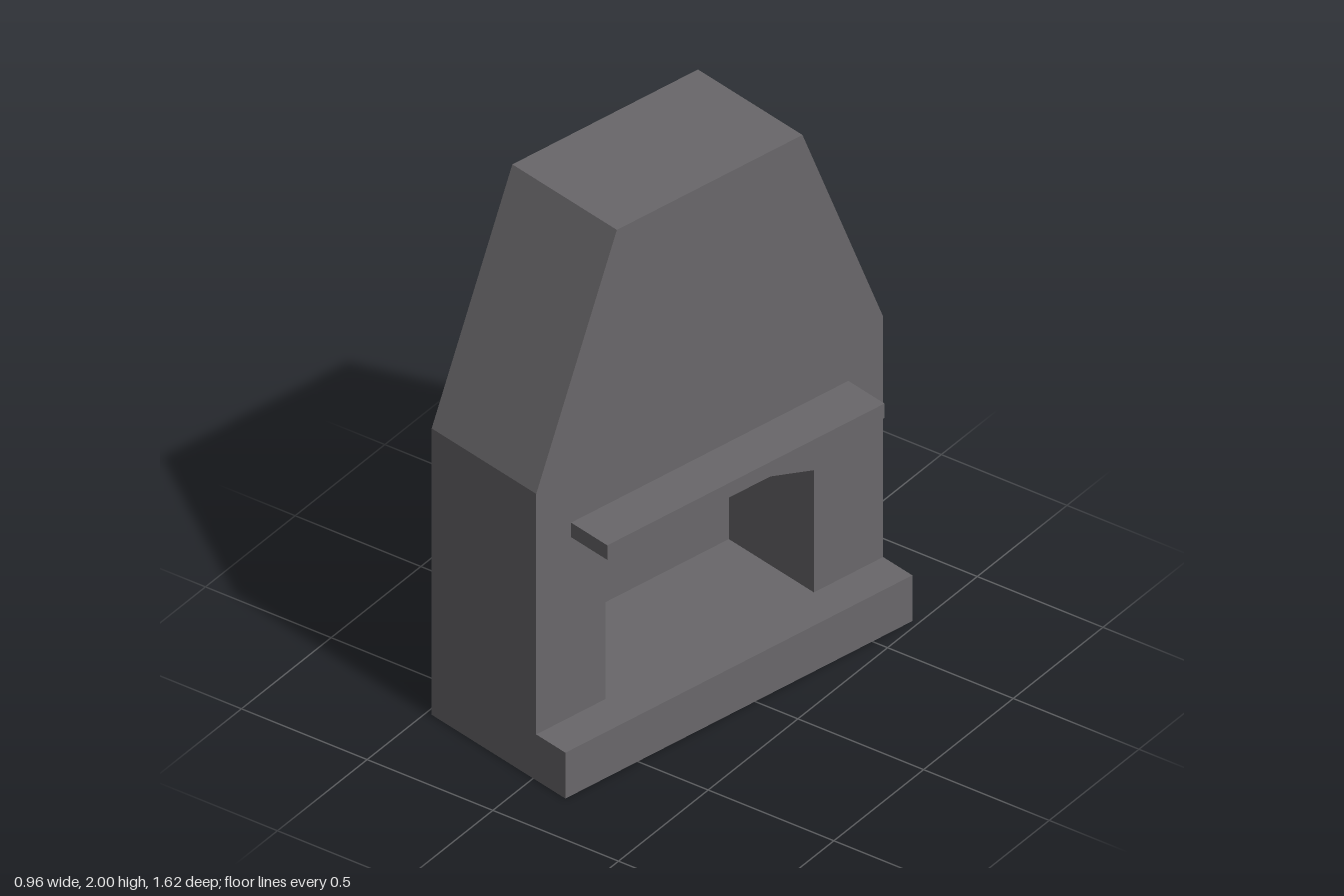
import * as THREE from 'three';

export function createModel() {
  const model = new THREE.Group();
  model.name = 'fireplace';
  const stone = new THREE.MeshStandardMaterial({ color: 0x69676a, side: THREE.DoubleSide });
  stone.name = 'dark stone';

  // Main sizes: half widths, heights and depths (front faces local +z)
  const W = 0.757, T = 0.405, H = 2, S = 1.125;
  const BACK = -0.324, FRONT = 0.181, LIP = 0.322, FLOOR = 0.18;
  const OW = 0.455, OY = 0.66, AW = 0.153, AY = 0.76, OB = -0.23; // fire opening
  const MW = 0.605, M0 = 0.885, M1 = 0.942, MZ = 0.356;           // mantel

  // A mesh of flat convex faces, corners counter-clockwise from outside
  function addFaces(name, faces) {
    const pos = [];
    for (const f of faces) {
      for (let i = 1; i < f.length - 1; i++) pos.push(...f[0], ...f[i], ...f[i + 1]);
    }
    const geo = new THREE.BufferGeometry();
    geo.setAttribute('position', new THREE.Float32BufferAttribute(pos, 3));
    geo.computeVertexNormals();
    const mesh = new THREE.Mesh(geo, stone);
    mesh.name = name;
    model.add(mesh);
  }
  // Mirror a face across x, keeping its winding outward
  const mirror = (f) => f.map(([x, y, z]) => [-x, y, z]).reverse();
  const both = (f) => [f, mirror(f)];
  const v2 = (pts) => pts.map(([x, y]) => new THREE.Vector2(x, y));

  // Front wall with the fire opening notched out and the mantel slot cut
  const wall = new THREE.Shape(v2([
    [-W, FLOOR], [-OW, FLOOR], [-OW, OY], [-AW, AY], [AW, AY], [OW, OY],
    [OW, FLOOR], [W, FLOOR], [W, S], [T, H], [-T, H], [-W, S],
  ]));
  wall.holes.push(new THREE.Path(v2([[-MW, M0], [-MW, M1], [MW, M1], [MW, M0]])));
  const wallMesh = new THREE.Mesh(new THREE.ShapeGeometry(wall), stone);
  wallMesh.name = 'frontWall';
  wallMesh.position.z = FRONT;
  model.add(wallMesh);

  // Sides, sloping shoulders and cap; the back and underside stay open
  addFaces('sideWalls', both([[W, 0, FRONT], [W, 0, BACK], [W, S, BACK], [W, S, FRONT]]));
  addFaces('shoulders', both([[W, S, FRONT], [W, S, BACK], [T, H, BACK], [T, H, FRONT]]));
  addFaces('chimneyTop', [[[-T, H, FRONT], [T, H, FRONT], [T, H, BACK], [-T, H, BACK]]]);

  // Raised hearth step
  addFaces('hearth', [
    [[-W, 0, LIP], [W, 0, LIP], [W, FLOOR, LIP], [-W, FLOOR, LIP]],
    [[-W, FLOOR, LIP], [W, FLOOR, LIP], [W, FLOOR, FRONT], [-W, FLOOR, FRONT]],
    ...both([[W, 0, LIP], [W, 0, FRONT], [W, FLOOR, FRONT], [W, FLOOR, LIP]]),
  ]);

  // Firebox recess, its ceiling falling from the arch to the back wall
  addFaces('firebox', [
    [[-OW, FLOOR, FRONT], [OW, FLOOR, FRONT], [OW, FLOOR, OB], [-OW, FLOOR, OB]],
    [[-OW, FLOOR, OB], [OW, FLOOR, OB], [OW, OY, OB], [-OW, OY, OB]],
    [[-AW, AY, FRONT], [-OW, OY, OB], [OW, OY, OB], [AW, AY, FRONT]],
    ...both([[OW, FLOOR, FRONT], [OW, OY, FRONT], [OW, OY, OB], [OW, FLOOR, OB]]),
    ...both([[OW, OY, FRONT], [AW, AY, FRONT], [OW, OY, OB]]),
  ]);

  // Mantel shelf, hollow towards the wall
  addFaces('mantelShelf', [
    [[-MW, M0, MZ], [MW, M0, MZ], [MW, M1, MZ], [-MW, M1, MZ]],
    [[-MW, M1, MZ], [MW, M1, MZ], [MW, M1, FRONT], [-MW, M1, FRONT]],
    [[-MW, M0, FRONT], [MW, M0, FRONT], [MW, M0, MZ], [-MW, M0, MZ]],
    ...both([[MW, M0, MZ], [MW, M0, FRONT], [MW, M1, FRONT], [MW, M1, MZ]]),
  ]);

  // The whole fireplace stands turned towards its left
  model.rotation.y = 1.3546;
  const root = new THREE.Group();
  root.name = 'fireplaceModel';
  root.add(model);
  return root;
}
